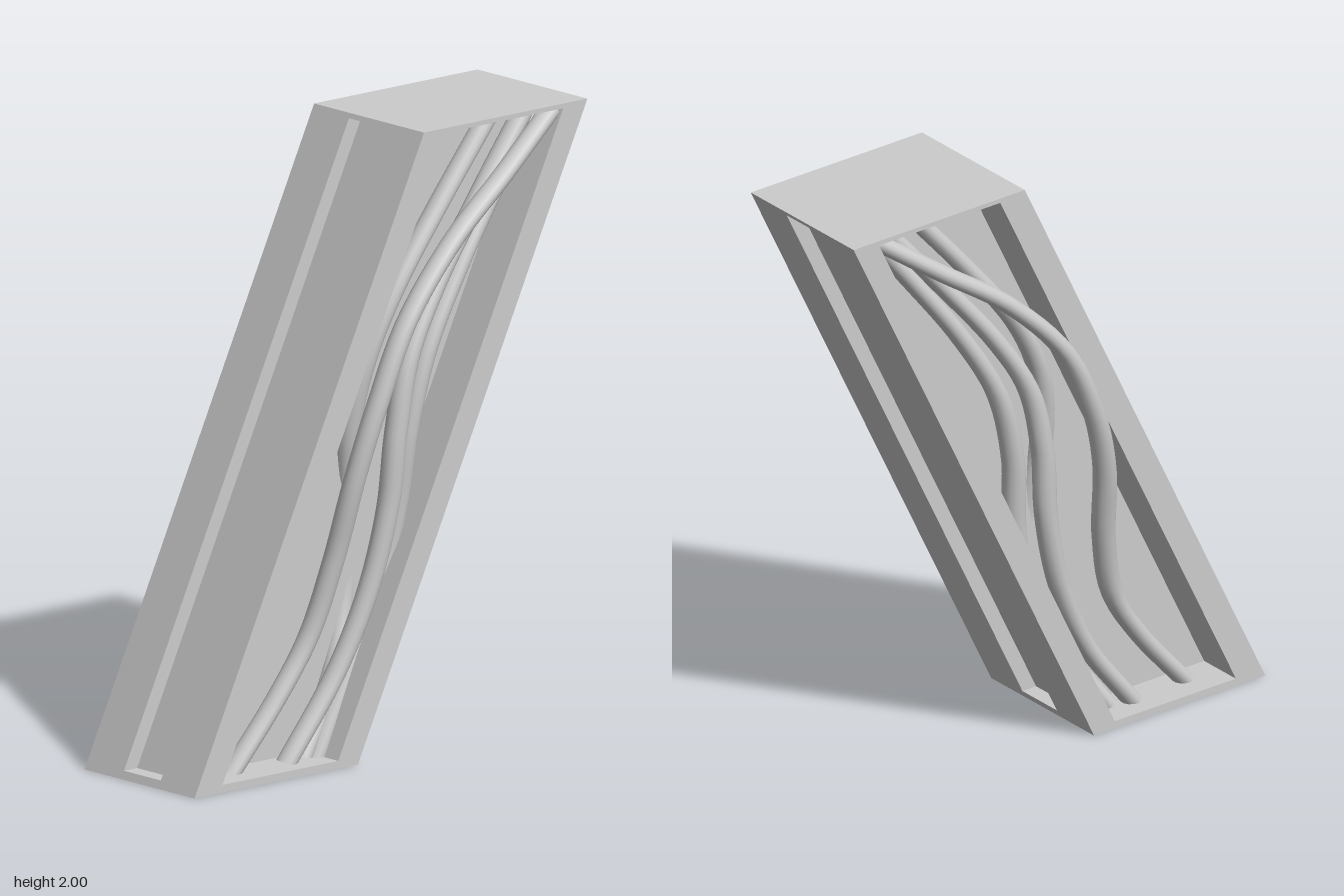
import * as THREE from 'three';

const LEAN = 0.4824;           // sideways shift per unit of height
const MID = 1.005;             // height at which the lean passes through x = 0
const W = 0.3425, D = 0.26;    // half width and half depth of the pillar
const CORE = 0.1, SLOT = 0.087, SLOT_DEPTH = 0.055;
const material = new THREE.MeshStandardMaterial({ color: 0xcccccc });

// Everything is modelled upright, then sheared along x
const shear = new THREE.Matrix4().set(
  1, LEAN, 0, -LEAN * MID,
  0, 1, 0, 0,
  0, 0, 1, 0,
  0, 0, 0, 1);

function addMesh(parent, name, geometry) {
  const mesh = new THREE.Mesh(geometry.applyMatrix4(shear), material);
  mesh.name = name;
  parent.add(mesh);
  return mesh;
}

// Extrude a plan outline (x, z) between two heights
function column(outline, y0, y1) {
  const shape = new THREE.Shape(outline.map(([x, z]) => new THREE.Vector2(x, z)));
  const geometry = new THREE.ExtrudeGeometry(shape, { depth: y1 - y0, bevelEnabled: false });
  return geometry.rotateX(-Math.PI / 2).translate(0, y0, 0);
}

// Strand through world points [x, y, z]; side = 1 front, -1 back
function strand(points, side) {
  const path = new THREE.CatmullRomCurve3(points.map(([x, y, z]) =>
    new THREE.Vector3(x - LEAN * (y - MID), y, z * side)));
  return new THREE.TubeGeometry(path, 48, 0.036, 14, false);
}

export function createModel() {
  const group = new THREE.Group();
  group.name = 'leaningPillar';

  // Pillar shaft: deep recesses front and back, shallow slots on both sides
  const l = -0.237, r = 0.248, s = W - SLOT_DEPTH;
  addMesh(group, 'shaft', column([
    [-W, -D], [l, -D], [l, -CORE], [r, -CORE], [r, -D], [W, -D],
    [W, -SLOT], [s, -SLOT], [s, SLOT], [W, SLOT],
    [W, D], [r, D], [r, CORE], [l, CORE], [l, D], [-W, D],
    [-W, SLOT], [-s, SLOT], [-s, -SLOT], [-W, -SLOT],
  ], 0.03, 1.985));

  // Closing plates
  const plate = [[-W, -D], [W, -D], [W, D], [-W, D]];
  addMesh(group, 'bottomPlate', column(plate, 0.005, 0.03));
  addMesh(group, 'topPlate', column(plate, 1.985, 2));

  // Twisting strands, the same on front and back
  const strands = {
    outerStrand: [
      [-0.58, 0.03, 0.155], [-0.4, 0.24, 0.165], [-0.28, 0.42, 0.18], [-0.21, 0.66, 0.22],
      [-0.165, 0.95, 0.28], [-0.1, 1.17, 0.308], [0.02, 1.42, 0.312], [0.23, 1.64, 0.29],
      [0.47, 1.81, 0.258], [0.7, 1.975, 0.22]],
    middleStrand: [
      [-0.36, 0.03, 0.17], [-0.17, 0.28, 0.18], [-0.05, 0.53, 0.2], [0.02, 0.8, 0.22],
      [0.045, 1.05, 0.232], [0.1, 1.28, 0.23], [0.22, 1.48, 0.215], [0.43, 1.74, 0.19],
      [0.63, 1.975, 0.17]],
    edgeStrand: [
      [-0.23, 0.03, 0.16], [-0.08, 0.3, 0.15], [0.06, 0.58, 0.15], [0.105, 0.78, 0.165],
      [0.13, 1.03, 0.19], [0.2, 1.28, 0.2], [0.34, 1.52, 0.19], [0.51, 1.75, 0.17],
      [0.69, 1.975, 0.155]],
    innerStrand: [
      [-0.28, 0.03, 0.15], [-0.13, 0.25, 0.115], [-0.04, 0.5, 0.07], [-0.02, 0.75, 0.065],
      [-0.045, 1.05, 0.115], [-0.005, 1.28, 0.15], [0.1, 1.49, 0.165], [0.28, 1.72, 0.16],
      [0.5, 1.975, 0.15]],
  };
  for (const side of [1, -1]) {
    const bundle = new THREE.Group();
    bundle.name = side > 0 ? 'frontStrands' : 'backStrands';
    for (const [name, points] of Object.entries(strands)) {
      addMesh(bundle, name, strand(points, side));
    }
    group.add(bundle);
  }
  return group;
}
